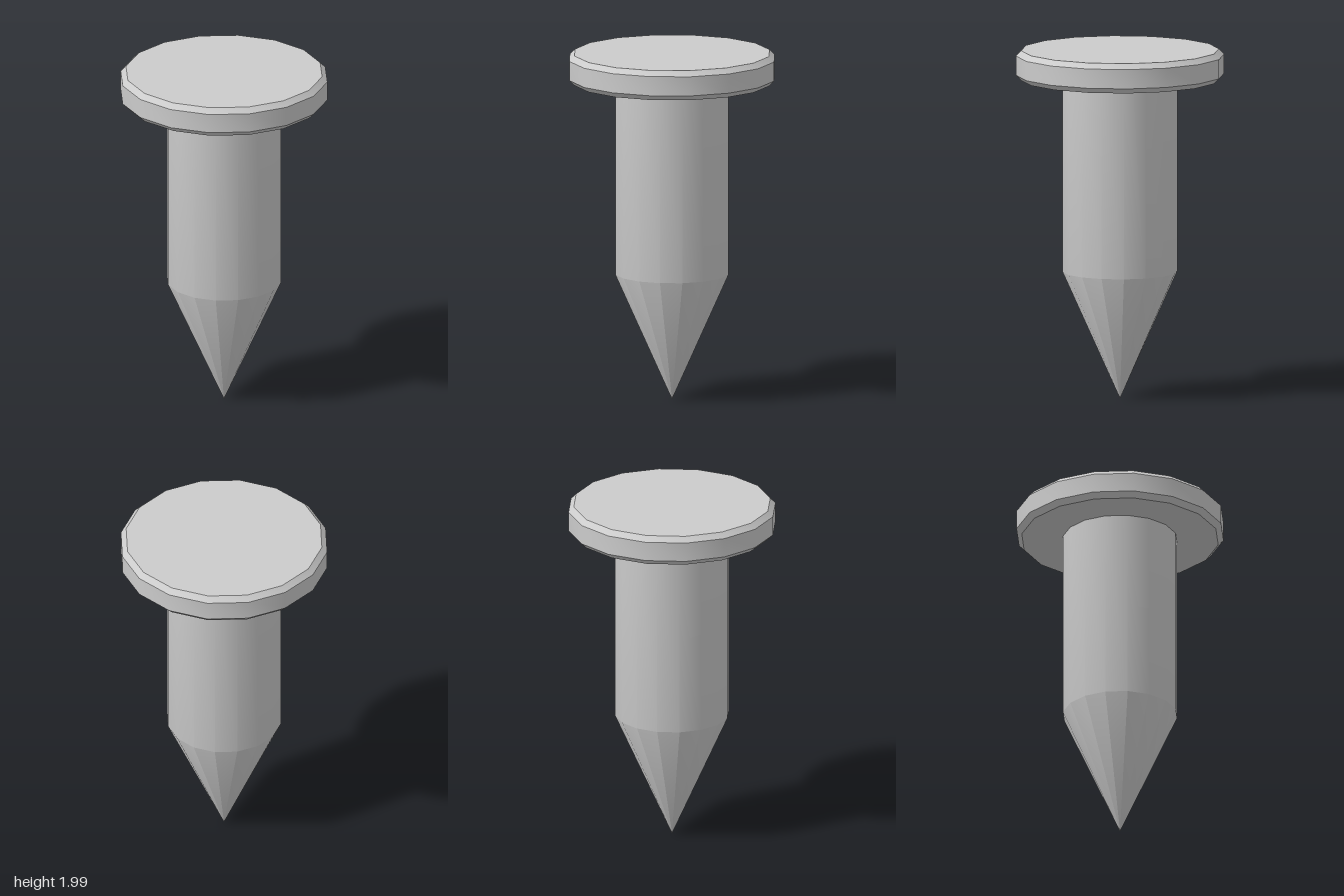
import * as THREE from 'three';
import { toCreasedNormals } from 'three/addons/utils/BufferGeometryUtils.js';

const SIDES = 16;
const SHAFT_RADIUS = 0.325;
const HEAD_RADIUS = 0.59;
const BEVEL = 0.03;
const HEAD_BOTTOM = 1.83;
const TOP = 2;

// Turned part from a bottom-to-top [radius, y] profile: smooth around, sharp at bevels
function turned(name, profile, material) {
  const points = profile.map(([r, y]) => new THREE.Vector2(r, y));
  const geometry = toCreasedNormals(new THREE.LatheGeometry(points, SIDES), Math.PI / 6);
  const mesh = new THREE.Mesh(geometry, material);
  mesh.name = name;
  return mesh;
}

export function createModel() {
  const group = new THREE.Group();
  group.name = 'nail';
  const material = new THREE.MeshStandardMaterial({ color: 0xcccccc });

  // Straight shaft running down into a conical point
  group.add(turned('shaft', [
    [0, 0.01],
    [SHAFT_RADIUS, 0.735],
    [SHAFT_RADIUS, HEAD_BOTTOM],
  ], material));

  // Flat disc head, bevelled on both rims
  group.add(turned('head', [
    [SHAFT_RADIUS, HEAD_BOTTOM],
    [HEAD_RADIUS - BEVEL, HEAD_BOTTOM],
    [HEAD_RADIUS, HEAD_BOTTOM + BEVEL],
    [HEAD_RADIUS, TOP - BEVEL],
    [HEAD_RADIUS - BEVEL, TOP],
    [0, TOP],
  ], material));

  return group;
}
